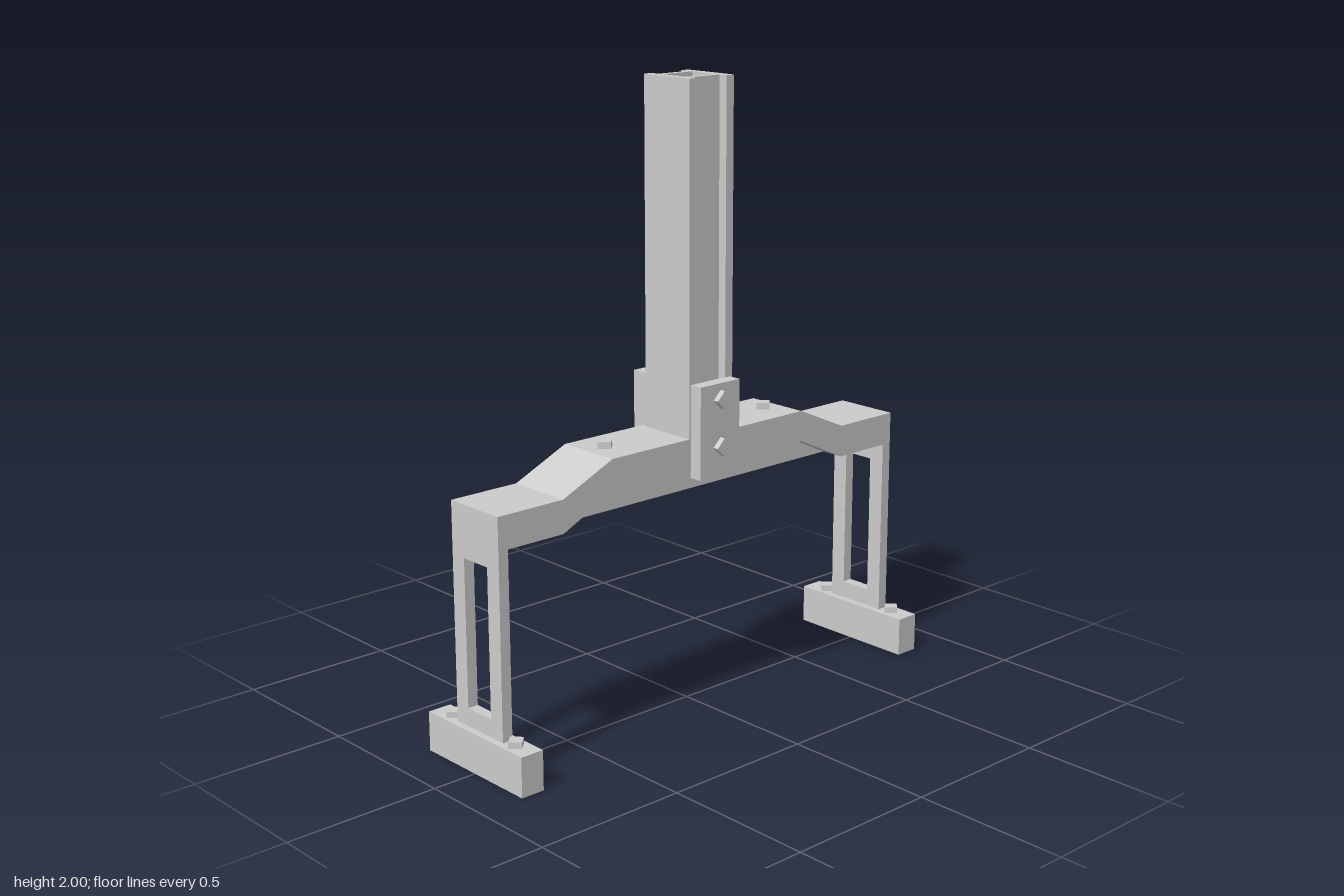
import * as THREE from 'three';

export function createModel() {
  const model = new THREE.Group();
  const material = new THREE.MeshStandardMaterial({ color: 0xcccccc, flatShading: true });

  const add = (name, geometry, x = 0, y = 0, z = 0) => {
    const mesh = new THREE.Mesh(geometry, material);
    mesh.name = name;
    mesh.position.set(x, y, z);
    model.add(mesh);
    return mesh;
  };
  // box given by its limits on each axis
  const box = (name, x0, x1, y0, y1, z0, z1) =>
    add(name, new THREE.BoxGeometry(x1 - x0, y1 - y0, z1 - z0),
      (x0 + x1) / 2, (y0 + y1) / 2, (z0 + z1) / 2);
  const shapeOf = pts => new THREE.Shape(pts.map(p => new THREE.Vector2(...p)));
  const rectHole = (w, y0, y1) => new THREE.Path(
    [[-w, y0], [-w, y1], [w, y1], [w, y0]].map(p => new THREE.Vector2(...p)));
  const extrude = (shape, depth) =>
    new THREE.ExtrudeGeometry(shape, { depth, bevelEnabled: false });
  // four-sided bolt head, seen as a diamond
  const bolt = (name, x, y, z) =>
    add(name, new THREE.CylinderGeometry(0.029, 0.029, 0.024, 4), x, y, z);

  // arched crossbeam
  const beam = shapeOf([
    [-0.83, 0.715], [-0.59, 0.715], [-0.4, 0.805], [0.4, 0.805], [0.59, 0.715], [0.83, 0.715],
    [0.83, 0.82], [0.59, 0.82], [0.4, 0.905], [-0.4, 0.905], [-0.59, 0.82], [-0.83, 0.82],
  ]);
  add('crossbeam', extrude(beam, 0.22), 0, 0, -0.11);

  // stiffening rib under the arch
  const rib = shapeOf([[-0.59, 0.715], [0.59, 0.715], [0.4, 0.81], [-0.4, 0.81]]);
  add('crossbeamRib', extrude(rib, 0.06), 0, 0, -0.03);

  // hollow post with a groove down its front and back
  const post = shapeOf([
    [-0.09, -0.11], [-0.06, -0.11], [-0.06, -0.08], [0.06, -0.08], [0.06, -0.11], [0.09, -0.11],
    [0.09, 0.09], [0.06, 0.09], [0.06, 0.06], [-0.06, 0.06], [-0.06, 0.09], [-0.09, 0.09],
  ]);
  post.holes.push(rectHole(0.06, -0.06, 0.04));
  add('post', extrude(post, 1.15), 0, 0.85, 0).rotation.x = -Math.PI / 2;

  // clamp plates on both faces of the post
  box('frontClampPlate', -0.083, 0.08, 0.78, 1.075, 0.108, 0.153);
  box('backClampPlate', -0.083, 0.08, 0.78, 1.075, -0.153, -0.09);
  for (const side of [-1, 1]) {
    for (const y of [0.875, 1.025]) {
      bolt('clampBolt', 0, y, side * 0.16).rotation.x = Math.PI / 2;
    }
  }

  // legs, feet and bolts, mirrored
  for (const side of [-1, 1]) {
    const leg = shapeOf([[-0.11, 0.12], [0.11, 0.12], [0.11, 0.73], [-0.11, 0.73]]);
    leg.holes.push(rectHole(0.055, 0.185, 0.655));
    add('leg', extrude(leg, 0.035), side > 0 ? 0.795 : -0.83, 0, 0).rotation.y = Math.PI / 2;

    const x = side * 0.813;
    box('foot', x - 0.04, x + 0.04, 0, 0.127, -0.225, 0.225);
    for (const z of [-0.15, 0.15]) bolt('footBolt', x, 0.135, z);
    bolt('beamBolt', side * 0.335, 0.915, 0);
  }

  return model;
}
